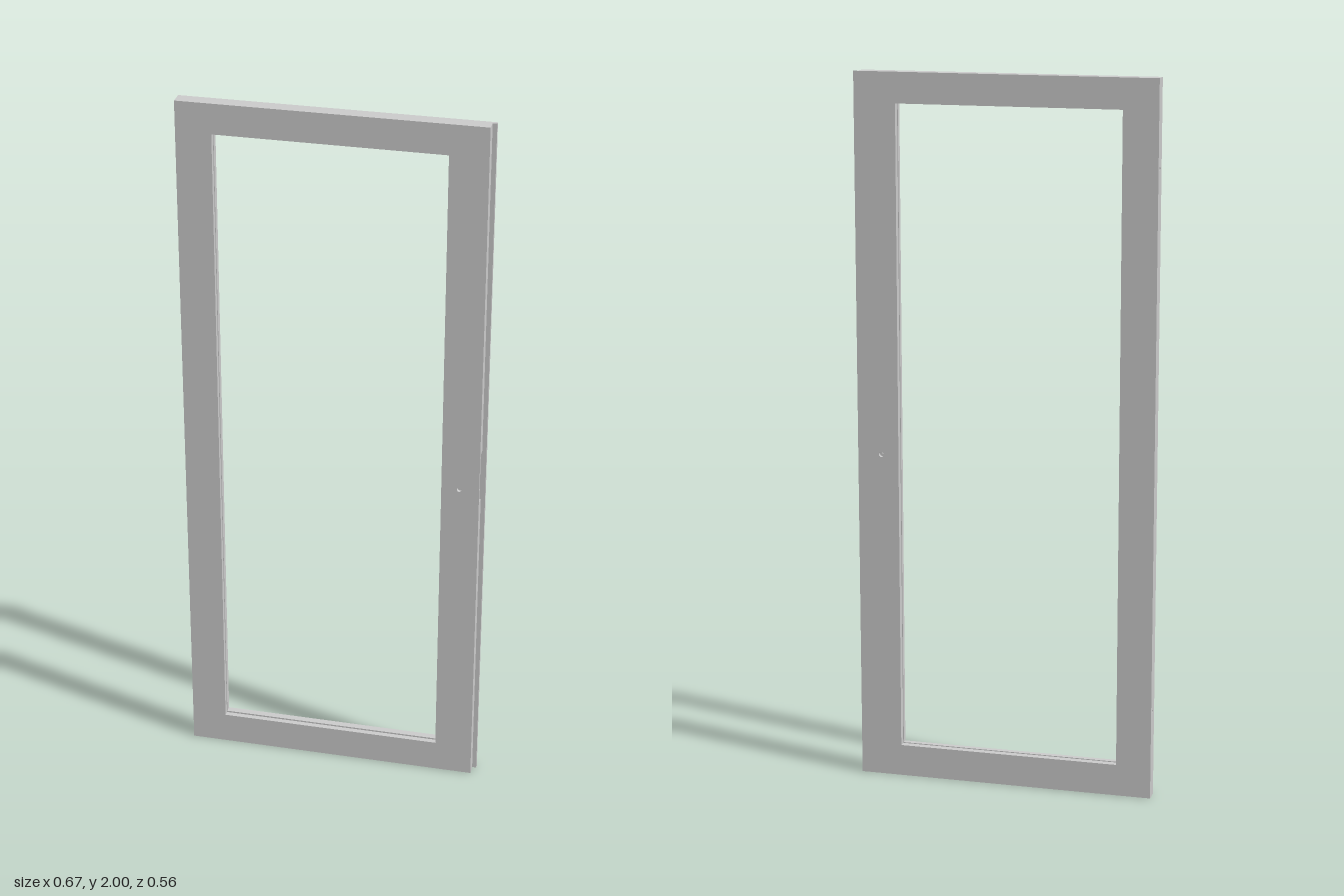
import * as THREE from 'three';

const H = 2, DEPTH = 0.04;            // door leaf height and thickness
const EDGE = 0.03;                    // width of the drilled hinge edge
const END = 0.83, LIP = 0.842;        // lock side: main edge and rear lip
const OPEN = { l: 0.098, r: 0.725, b: 0.09, t: 1.915 };

function polygon(points, Type = THREE.Shape) {
  return new Type(points.map(([x, y]) => new THREE.Vector2(x, y)));
}

function circle(x, y, r) {
  return new THREE.Path().absarc(x, y, r, 0, Math.PI * 2, true);
}

export function createModel() {
  const model = new THREE.Group();
  const door = new THREE.Group();
  door.name = 'door';
  const material = new THREE.MeshStandardMaterial({ color: 0xcccccc });

  function add(name, shape, depth) {
    const geometry = new THREE.ExtrudeGeometry(shape, { depth, bevelEnabled: false, curveSegments: 8 });
    const mesh = new THREE.Mesh(geometry, material);
    mesh.name = name;
    door.add(mesh);
    return mesh;
  }

  // One slice of the frame, from the front plane backwards
  function slice(name, from, to, { end = END, groove = 0, mortise = false }) {
    const pocket = mortise ? [[end, 0.9], [0.745, 0.9], [0.745, 1.05], [end, 1.05]] : [];
    const shape = polygon([[EDGE, 0], [end, 0], ...pocket, [end, H], [EDGE, H]]);
    const l = OPEN.l - groove, r = OPEN.r + groove, b = OPEN.b - groove, t = OPEN.t + groove;
    shape.holes.push(polygon([[l, b], [l, t], [r, t], [r, b]], THREE.Path));
    // handle spindle hole; the lock pocket already clears it
    if (!mortise) shape.holes.push(circle(0.775, 0.94, 0.007));
    add(name, shape, to - from).position.z = -to;
  }

  slice('frameFront', 0, 0.009, {});
  slice('frameLockFront', 0.009, 0.015, { mortise: true });
  slice('frameGlazingGroove', 0.015, 0.021, { mortise: true, groove: 0.012 });
  slice('frameLockBack', 0.021, 0.03, { mortise: true });
  slice('frameBackWithLip', 0.03, DEPTH, { end: LIP });

  // Hinge edge with two pin holes
  const edge = polygon([[0, 0], [DEPTH, 0], [DEPTH, H], [0, H]]);
  for (const y of [0.25, 1.76]) edge.holes.push(circle(0.022, y, 0.005));
  add('hingeEdge', edge, EDGE).geometry.rotateY(Math.PI / 2);

  // The leaf stands swung open about the vertical
  door.position.set(-0.338, 0, -0.25);
  door.rotation.y = -Math.atan2(0.528, 0.64);
  model.add(door);
  return model;
}
